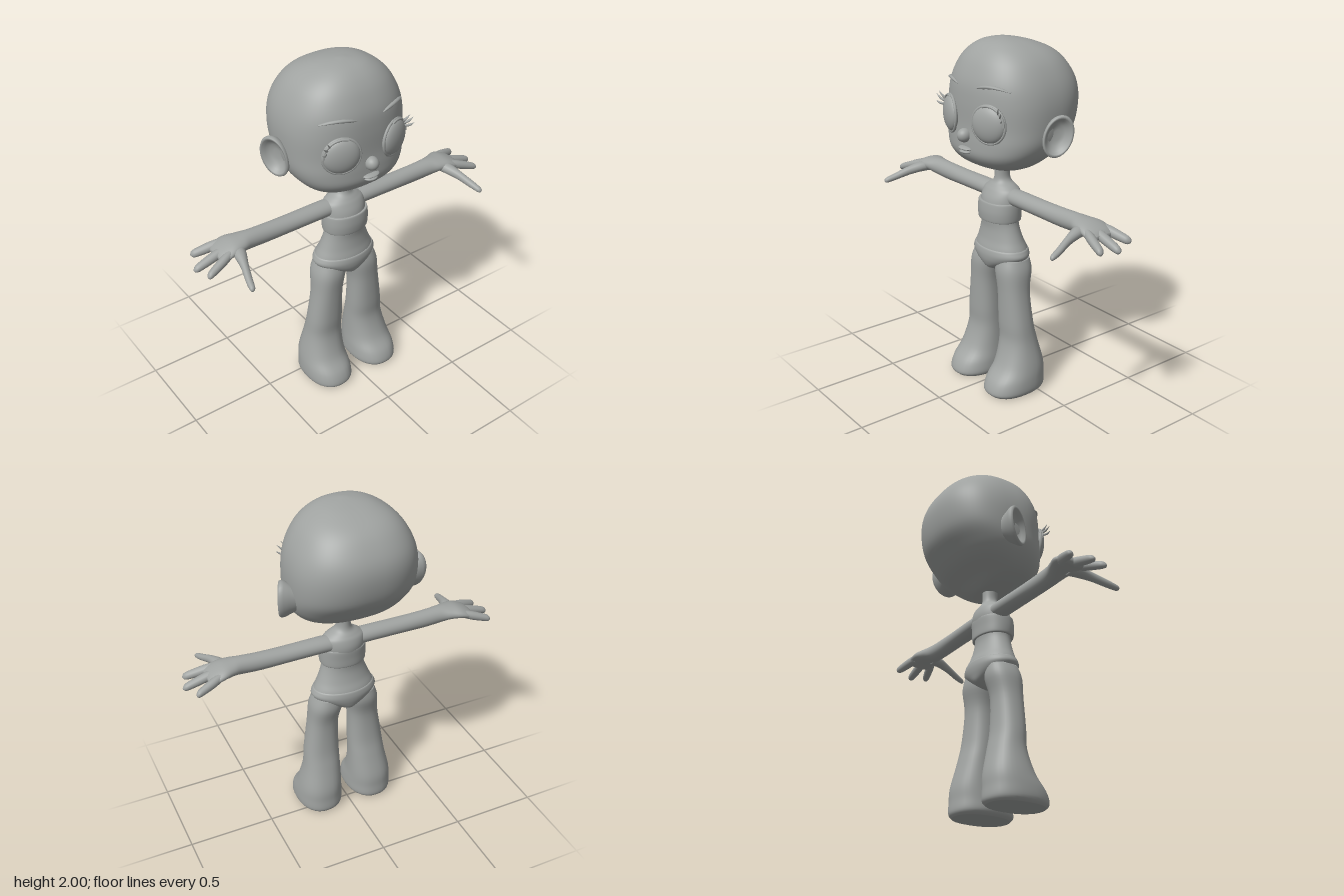
import * as THREE from 'three';

const clay = new THREE.MeshStandardMaterial({ color: 0xa0a3a1 });
clay.name = 'clayGrey';

// Smooth skin over superellipse rings stacked along an axis (0 x, 1 y, 2 z).
// Ring: [position on axis, centre u, centre v, radius u, radius v], u and v being the next axes in cyclic order.
function loft(axis, rings, { power = 2, sides = 32, steps = 5 } = {}) {
  const at = (i) => rings[Math.min(Math.max(i, 0), rings.length - 1)];
  const spline = (a, b, c, d, t) =>
    b + 0.5 * t * (c - a + t * (2 * a - 5 * b + 4 * c - d + t * (3 * (b - c) + d - a)));
  const fine = [];
  for (let i = 0; i < rings.length - 1; i++) {
    for (let s = 0; s < steps; s++) {
      fine.push(at(i).map((_, k) => spline(at(i - 1)[k], at(i)[k], at(i + 1)[k], at(i + 2)[k], s / steps)));
    }
  }
  fine.push(at(rings.length));
  const pos = [], index = [];
  const put = (t, u, v) => {
    const p = [0, 0, 0];
    p[axis] = t;
    p[(axis + 1) % 3] = u;
    p[(axis + 2) % 3] = v;
    pos.push(...p);
  };
  const bend = (c) => Math.sign(c) * Math.abs(c) ** (2 / power);
  fine.forEach(([t, cu, cv, ru, rv]) => {
    for (let j = 0; j < sides; j++) {
      const a = (j / sides) * Math.PI * 2;
      put(t, cu + ru * bend(Math.cos(a)), cv + rv * bend(Math.sin(a)));
    }
  });
  const last = fine.length - 1, start = fine.length * sides, end = start + 1;
  put(...fine[0].slice(0, 3));
  put(...fine[last].slice(0, 3));
  for (let j = 0; j < sides; j++) {
    const k = (j + 1) % sides;
    for (let i = 0; i < last; i++) {
      const a = i * sides + j, b = i * sides + k;
      index.push(a, b, b + sides, a, b + sides, a + sides);
    }
    index.push(start, k, j, end, last * sides + j, last * sides + k);
  }
  const geo = new THREE.BufferGeometry();
  geo.setAttribute('position', new THREE.Float32BufferAttribute(pos, 3));
  geo.setIndex(index);
  geo.computeVertexNormals();
  return geo;
}

function add(parent, name, geo, position = [0, 0, 0], scale = [1, 1, 1]) {
  const mesh = new THREE.Mesh(geo, clay);
  mesh.name = name;
  mesh.position.set(...position);
  mesh.scale.set(...scale);
  parent.add(mesh);
  return mesh;
}

const ball = new THREE.SphereGeometry(1, 32, 20);

// Everything that exists once per side, built for +x
function buildSide(name) {
  const side = new THREE.Group();
  side.name = name;

  // Leg widening into a soft foot
  add(side, 'leg', loft(1, [
    [0.005, 0.09, 0.165, 0.165, 0.115], [0.03, 0.09, 0.163, 0.182, 0.135],
    [0.09, 0.08, 0.163, 0.17, 0.135], [0.17, 0.052, 0.16, 0.137, 0.126],
    [0.3, 0.047, 0.148, 0.1, 0.11], [0.42, 0.06, 0.141, 0.088, 0.103],
    [0.6, 0.065, 0.128, 0.085, 0.09], [0.72, 0.055, 0.112, 0.1, 0.095],
    [0.79, 0.05, 0.1, 0.09, 0.083],
  ], { power: 2.3 }));

  // Arm flattening into the palm
  add(side, 'arm', loft(0, [
    [0.05, 1.135, 0.04, 0.045, 0.055], [0.15, 1.137, 0.04, 0.046, 0.055],
    [0.35, 1.135, 0.04, 0.047, 0.052], [0.5, 1.135, 0.04, 0.05, 0.05],
    [0.6, 1.14, 0.042, 0.049, 0.054], [0.66, 1.145, 0.042, 0.042, 0.07],
    [0.72, 1.143, 0.037, 0.036, 0.086], [0.78, 1.125, 0.037, 0.028, 0.086],
    [0.805, 1.12, 0.037, 0.01, 0.06],
  ]));

  // Three fingers
  for (const [z0, z1, x1, y1] of [[-0.02, -0.066, 0.89, 1.095], [0.04, 0.044, 0.932, 1.08], [0.092, 0.14, 0.905, 1.085]]) {
    const mix = (a, b, t) => a + (b - a) * t;
    add(side, 'finger', loft(0, [[0, 0.024], [0.3, 0.027], [0.7, 0.024], [0.92, 0.019], [1, 0.005]].map(
      ([t, r]) => [mix(0.74, x1, t), mix(1.137, y1, t), mix(z0, z1, t), r, r]), { sides: 16 }));
  }
  add(side, 'thumb', loft(2, [
    [0.06, 0.69, 1.135, 0.04, 0.03], [0.13, 0.705, 1.13, 0.034, 0.029],
    [0.2, 0.725, 1.113, 0.023, 0.025], [0.28, 0.75, 1.085, 0.02, 0.02],
    [0.33, 0.762, 1.07, 0.015, 0.015], [0.342, 0.765, 1.067, 0.004, 0.004],
  ], { sides: 16 }));

  // Dished ear, flaring outward to the back
  const dish = [[0.55, -0.09], [0.8, -0.045], [0.96, -0.018], [1, 0], [0.95, 0.012], [0.84, 0.01],
    [0.72, -0.008], [0.5, -0.025], [0.25, -0.03], [0.0, -0.03]].map(([r, h]) => new THREE.Vector2(r, h));
  const ear = add(side, 'ear', new THREE.LatheGeometry(dish, 40).rotateX(Math.PI / 2), [0.383, 1.527, -0.025], [0.08, 0.116, 1]);
  ear.rotation.set(0, 1.1, -0.32, 'YXZ');

  // Bulging eye with its rim
  const eye = new THREE.Group();
  eye.name = 'eye';
  eye.position.set(0.167, 1.59, 0.26);
  eye.rotation.y = 0.35;
  add(eye, 'eyeball', ball, [0, 0, 0], [0.1, 0.098, 0.04]);
  add(eye, 'eyeRim', new THREE.TorusGeometry(0.1, 0.008, 8, 48), [0, 0, 0.002]);
  add(eye, 'lashLine', new THREE.TorusGeometry(0.098, 0.007, 8, 32, 1.9), [0, 0, 0.012]);
  side.add(eye);

  // Lashes at the outer corner
  for (const [x, y, tx, ty] of [[0.228, 1.655, 0.262, 1.695], [0.242, 1.64, 0.285, 1.674], [0.25, 1.622, 0.292, 1.638]]) {
    add(side, 'eyelash', loft(0, [[x, y, 0.245, 0.007, 0.007], [(x + tx) / 2, (y + ty) / 2 - 0.004, 0.262, 0.007, 0.006],
      [tx, ty, 0.272, 0.001, 0.001]], { sides: 8, steps: 3 }));
  }

  // Tapered brow following the forehead
  add(side, 'eyebrow', loft(0, [
    [0.082, 1.768, 0.274, 0.002, 0.004], [0.12, 1.778, 0.268, 0.009, 0.01],
    [0.17, 1.784, 0.253, 0.009, 0.012], [0.22, 1.779, 0.226, 0.007, 0.012],
    [0.262, 1.764, 0.193, 0.002, 0.006],
  ], { sides: 10 }));
  return side;
}

export function createModel() {
  const model = new THREE.Group();
  model.name = 'figure';

  // Large rounded head
  add(model, 'head', loft(1, [
    [1.285, 0.04, 0, 0.02, 0.03], [1.292, 0.045, 0, 0.07, 0.08], [1.31, 0.055, 0, 0.11, 0.155],
    [1.345, 0.07, 0, 0.17, 0.24], [1.4, 0.048, 0, 0.237, 0.3], [1.47, 0.018, 0, 0.272, 0.337],
    [1.56, -0.017, 0, 0.302, 0.35], [1.68, -0.03, 0, 0.315, 0.35], [1.78, -0.03, 0, 0.305, 0.328],
    [1.87, -0.022, 0, 0.263, 0.282], [1.93, -0.01, 0, 0.21, 0.225], [1.97, 0.012, 0, 0.14, 0.155],
    [1.99, 0.028, 0, 0.075, 0.09], [2.0, 0.035, 0, 0.012, 0.015],
  ], { power: 2.4, sides: 64 }));

  // Nose and lips
  add(model, 'nose', ball, [0, 1.507, 0.295], [0.037, 0.038, 0.041]);
  add(model, 'upperLip', ball, [0, 1.437, 0.285], [0.052, 0.011, 0.036]);
  add(model, 'lowerLip', ball, [0, 1.419, 0.283], [0.042, 0.011, 0.036]);

  // Neck, chest, waist and hips in one skin
  add(model, 'torso', loft(1, [
    [0.74, 0.05, 0, 0.1, 0.15], [0.8, 0.052, 0, 0.12, 0.187], [0.84, 0.052, 0, 0.118, 0.178],
    [0.89, 0.056, 0, 0.102, 0.155], [0.95, 0.06, 0, 0.091, 0.132], [1.0, 0.062, 0, 0.092, 0.12],
    [1.06, 0.06, 0, 0.1, 0.125], [1.12, 0.052, 0, 0.1, 0.127], [1.165, 0.046, 0, 0.085, 0.12],
    [1.19, 0.045, 0, 0.068, 0.09], [1.215, 0.045, 0, 0.05, 0.052], [1.25, 0.045, 0, 0.044, 0.04],
    [1.32, 0.045, 0, 0.046, 0.045],
  ], { sides: 48 }));

  // Clothing
  add(model, 'bandeau', loft(1, [
    [0.997, 0.063, 0, 0.098, 0.126], [1.003, 0.063, 0, 0.104, 0.133], [1.05, 0.064, 0, 0.107, 0.136],
    [1.1, 0.06, 0, 0.106, 0.134], [1.107, 0.06, 0, 0.1, 0.128],
  ], { sides: 48, power: 2.15 }));
  add(model, 'briefs', loft(1, [
    [0.695, 0.05, 0, 0.05, 0.025], [0.72, 0.05, 0, 0.1, 0.065], [0.76, 0.052, 0, 0.12, 0.15],
    [0.8, 0.052, 0, 0.127, 0.194], [0.832, 0.052, 0, 0.124, 0.186], [0.841, 0.052, 0, 0.118, 0.178],
  ], { sides: 48 }));

  const left = buildSide('leftSide');
  const right = buildSide('rightSide');
  right.scale.x = -1;
  model.add(left, right);
  return model;
}
